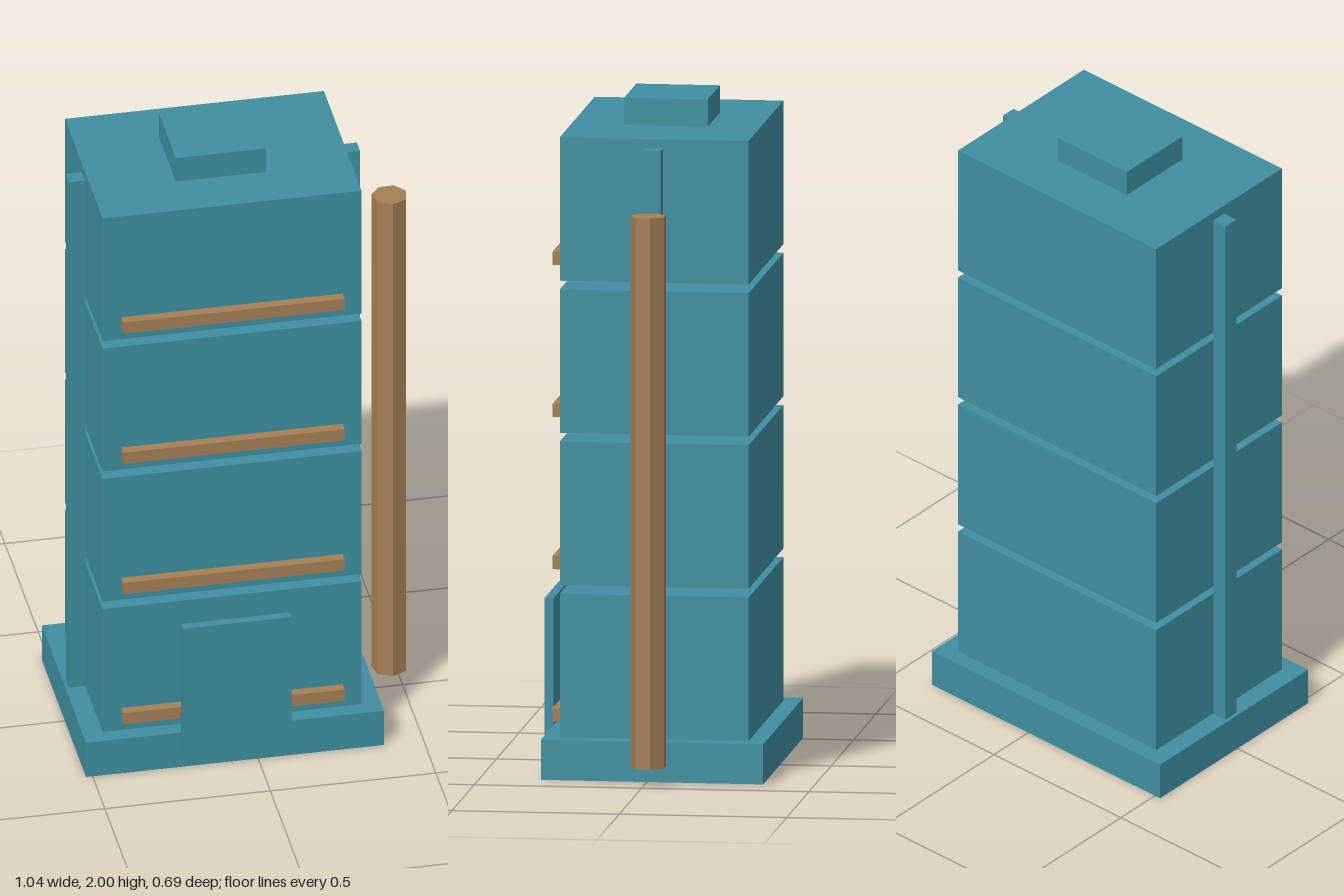
import * as THREE from 'three';

const teal = new THREE.MeshStandardMaterial({ color: 0x3f8fa1, flatShading: true });
const wood = new THREE.MeshStandardMaterial({ color: 0xa57f55, flatShading: true });

// Box given by its extents along each axis
function box(name, [x0, x1], [y0, y1], [z0, z1], material) {
  const mesh = new THREE.Mesh(new THREE.BoxGeometry(x1 - x0, y1 - y0, z1 - z0), material);
  mesh.position.set((x0 + x1) / 2, (y0 + y1) / 2, (z0 + z1) / 2);
  mesh.name = name;
  return mesh;
}

export function createModel() {
  const model = new THREE.Group();
  model.name = 'tieredTower';

  // Wide plinth
  model.add(box('base', [-0.52, 0.38], [0, 0.12], [-0.347, 0.317], teal));

  // Four separated storeys, each with a wooden rail on the front
  const storeys = 4, step = 0.456, height = 0.43;
  for (let i = 0; i < storeys; i++) {
    const y = 0.12 + i * step;
    model.add(box('storey' + (i + 1), [-0.46, 0.322], [y, y + height], [-0.296, 0.268], teal));
    model.add(box('frontRail' + (i + 1), [-0.403, 0.265], [y + 0.038, y + 0.077], [0.268, 0.298], wood));
  }

  // Cap on the roof
  model.add(box('roofCap', [-0.207, 0.066], [1.918, 2], [-0.14, 0.11], teal));

  // Upright posts holding the storeys at both sides
  model.add(box('rightPost', [-0.509, -0.46], [0.12, 1.89], [-0.04, 0.008], teal));
  model.add(box('leftPost', [0.322, 0.37], [0.12, 1.89], [-0.04, 0.008], teal));

  // Door panel in front of the plinth
  model.add(box('door', [-0.233, 0.095], [0.072, 0.5], [0.317, 0.344], teal));

  // Seven-sided pole standing off the left side
  const pole = new THREE.Mesh(new THREE.CylinderGeometry(0.054, 0.054, 1.652, 7), wood);
  pole.position.set(0.464, 0.884, -0.016);
  pole.name = 'sidePole';
  model.add(pole);

  return model;
}
